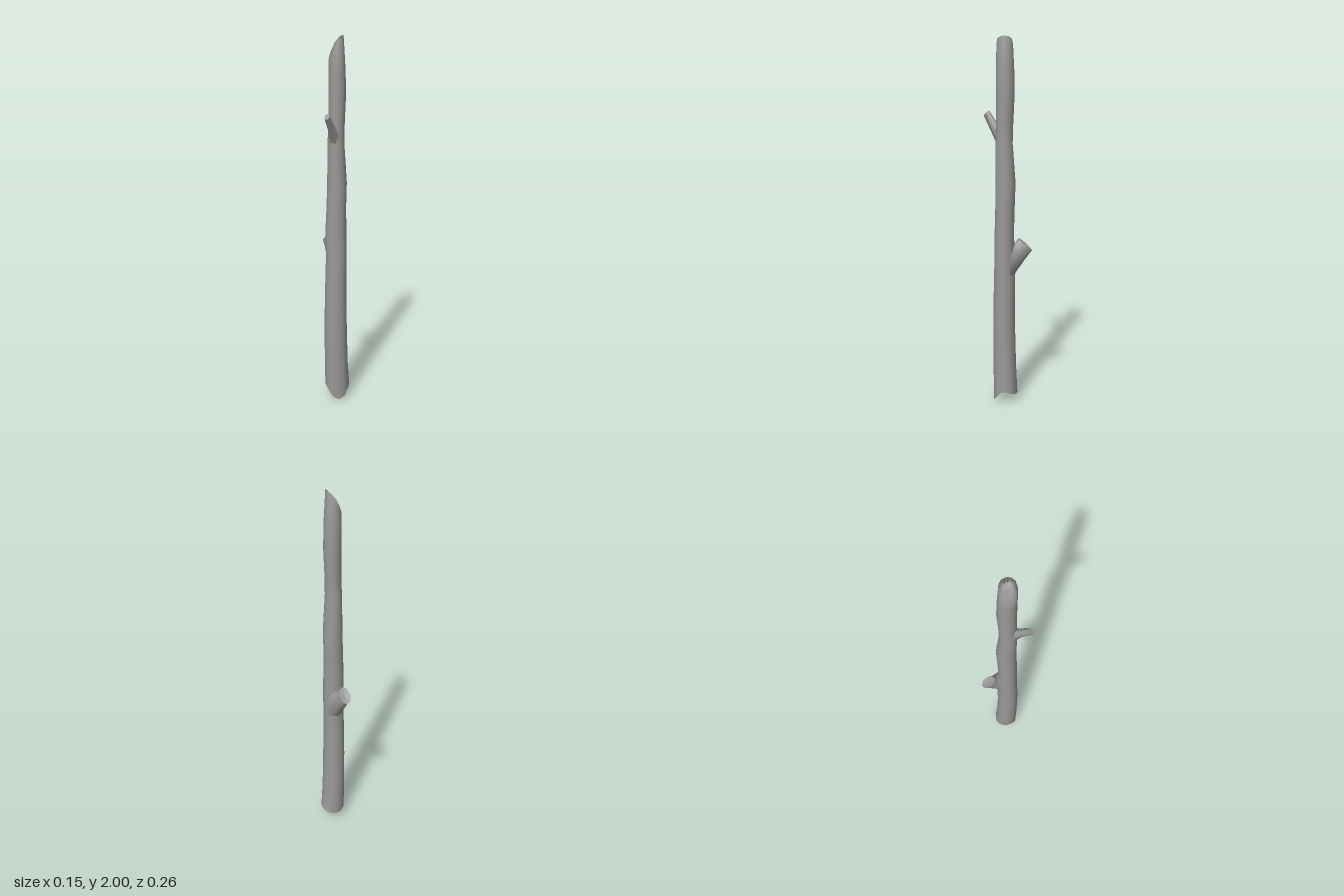
import * as THREE from 'three';

const V = (x, y, z) => new THREE.Vector3(x, y, z);
const material = new THREE.MeshStandardMaterial({ color: 0x999999, side: THREE.DoubleSide });

// Closed ring of n points: centre + u cos a + v sin a (u x v points along the limb)
function ring(n, c, u, v) {
  return Array.from({ length: n }, (_, i) => {
    const a = (i / n) * Math.PI * 2;
    return c.clone().addScaledVector(u, Math.cos(a)).addScaledVector(v, Math.sin(a));
  });
}

function geometryFrom(points, index) {
  const g = new THREE.BufferGeometry().setFromPoints(points);
  g.setIndex(index);
  return g;
}

// Smooth skin through a list of rings
function skin(name, rings) {
  const n = rings[0].length, index = [];
  for (let r = 0; r < rings.length - 1; r++) {
    for (let i = 0; i < n; i++) {
      const j = (i + 1) % n, a = r * n + i, b = r * n + j;
      index.push(a, b, b + n, a, b + n, a + n);
    }
  }
  const g = geometryFrom(rings.flat(), index);
  g.computeVertexNormals();
  const mesh = new THREE.Mesh(g, material);
  mesh.name = name;
  return mesh;
}

// Faceted fan closing a ring at a given centre
function cap(name, points, centre, flip = false) {
  const n = points.length, index = [];
  for (let i = 0; i < n; i++) {
    const j = (i + 1) % n;
    index.push(n, flip ? j : i, flip ? i : j);
  }
  const g = geometryFrom([...points, centre], index).toNonIndexed();
  g.computeVertexNormals();
  const mesh = new THREE.Mesh(g, material);
  mesh.name = name;
  return mesh;
}

export function createModel() {
  const group = new THREE.Group();
  group.name = 'stick';

  // Trunk sections: height, x min, x max, z min, z max
  const sections = [
    [0.07, -0.063, 0.074, -0.055, 0.077],
    [0.2, -0.066, 0.064, -0.047, 0.08],
    [0.45, -0.068, 0.057, -0.04, 0.081],
    [0.7, -0.062, 0.054, -0.039, 0.076],
    [0.83, -0.058, 0.056, -0.038, 0.072],
    [0.97, -0.061, 0.054, -0.034, 0.071],
    [1.1, -0.054, 0.052, -0.037, 0.067],
    [1.24, -0.049, 0.056, -0.042, 0.065],
    [1.45, -0.048, 0.041, -0.026, 0.066],
    [1.55, -0.043, 0.043, -0.029, 0.062],
    [1.7, -0.041, 0.05, -0.036, 0.061],
    [1.83, -0.041, 0.047, -0.034, 0.061],
    [1.95, -0.04, 0.036, -0.027, 0.058],
  ];
  const rings = sections.map(([y, x0, x1, z0, z1]) =>
    ring(12, V((x0 + x1) / 2, y, (z0 + z1) / 2), V((x1 - x0) / 2, 0, 0), V(0, 0, (z0 - z1) / 2)));

  // Broken foot with a point at the front, slanted cut at the top
  const foot = rings[0], top = rings[rings.length - 1];
  foot.forEach((p, i) => {
    const s = Math.sin((i / 12) * Math.PI * 2);
    p.y = s < 0 ? 0.07 * Math.min(1, (1 + s) / 0.6) : 0.07 - 0.027 * s;
  });
  top.forEach((p, i) => {
    const c = Math.cos((i / 12) * Math.PI * 2);
    p.y = 1.962 + 0.06 * c - 0.022 * c * c;
  });

  // The top cut is part of the skin, so its rim shades softly
  const cutCentre = V(-0.002, 1.96, 0.015);
  const cutRings = [0.5, 0.01].map(t => top.map(p => cutCentre.clone().lerp(p, t)));
  group.add(skin('trunk', [...rings, ...cutRings]));
  group.add(cap('brokenFoot', foot, V(0.004, 0.08, 0.005), true));

  // Thick sawn stub at the back, flaring into the trunk
  const stub = [
    ring(8, V(0, 0.79, -0.015), V(-0.052, 0, 0), V(0, 0.11, 0)),
    ring(8, V(-0.008, 0.825, -0.04), V(-0.04, 0, 0), V(0, 0.08, 0.005)),
    ring(8, V(-0.02, 0.863, -0.068), V(-0.033, 0, 0), V(0, 0.048, 0.026)),
    ring(8, V(-0.03, 0.897, -0.095), V(-0.031, 0, 0), V(0, 0.033, 0.037)),
  ];
  group.add(skin('stub', stub));
  group.add(cap('stubCut', stub[3], V(-0.03, 0.89, -0.093)));

  // Thin twig at the front, flaring into the trunk
  const side = V(0.85, 0, 0.53);
  const twig = [
    ring(6, V(-0.016, 1.485, 0.042), side.clone().multiplyScalar(0.032), V(0, 0.065, 0)),
    ring(6, V(-0.03, 1.525, 0.07), side.clone().multiplyScalar(0.02), V(0.006, 0.026, -0.012)),
    ring(6, V(-0.062, 1.603, 0.115), side.clone().multiplyScalar(0.014), V(0.007, 0.015, -0.013)),
  ];
  group.add(skin('twig', twig));
  group.add(cap('twigCut', twig[2], V(-0.062, 1.603, 0.115)));

  return group;
}
